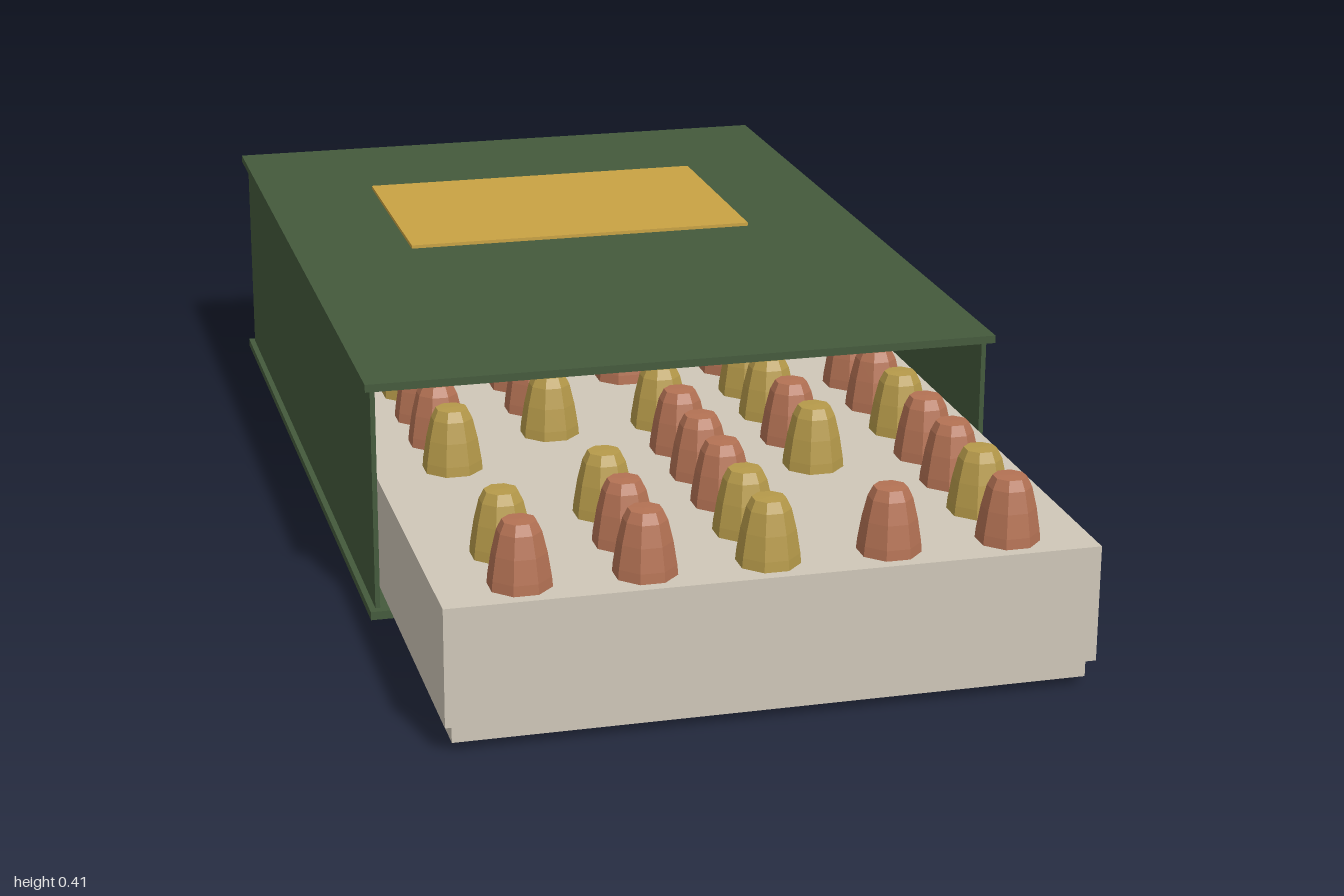
import * as THREE from 'three';

const mat = (name, color, flatShading = false) => {
  const m = new THREE.MeshStandardMaterial({ color });
  m.name = name;
  m.flatShading = flatShading;
  return m;
};

export function createModel() {
  const green = mat('sleeve green', 0x445a3c);
  const ochre = mat('label ochre', 0xc9a243);
  const cream = mat('tray cream', 0xcfc7b8);
  const copper = mat('copper', 0xb47254, true);
  const brass = mat('brass', 0xb69a4a, true);

  const model = new THREE.Group();
  model.name = 'slidingBox';

  // Box between two corners
  const box = (parent, name, material, [x0, y0, z0], [x1, y1, z1]) => {
    const mesh = new THREE.Mesh(new THREE.BoxGeometry(x1 - x0, y1 - y0, z1 - z0), material);
    mesh.position.set((x0 + x1) / 2, (y0 + y1) / 2, (z0 + z1) / 2);
    mesh.name = name;
    parent.add(mesh);
  };

  // Outer sleeve: two overhanging boards, thin walls, open at the front
  const sleeve = new THREE.Group();
  sleeve.name = 'sleeve';
  box(sleeve, 'bottomBoard', green, [-0.525, 0, -1], [0.525, 0.014, 0.475]);
  box(sleeve, 'topBoard', green, [-0.525, 0.387, -1], [0.525, 0.4, 0.475]);
  box(sleeve, 'leftWall', green, [0.507, 0.014, -0.985], [0.515, 0.387, 0.46]);
  box(sleeve, 'rightWall', green, [-0.515, 0.014, -0.985], [-0.507, 0.387, 0.46]);
  box(sleeve, 'backWall', green, [-0.507, 0.014, -0.985], [0.507, 0.387, -0.977]);
  box(sleeve, 'label', ochre, [-0.315, 0.4, -0.685], [0.315, 0.406, -0.26]);
  model.add(sleeve);

  // Tray pulled out of the sleeve
  const tray = new THREE.Group();
  tray.name = 'tray';
  box(tray, 'trayBase', cream, [-0.493, 0.015, -0.42], [0.493, 0.045, 0.988]);
  box(tray, 'trayBlock', cream, [-0.505, 0.045, -0.43], [0.505, 0.232, 1]);
  model.add(tray);

  // Faceted tapered pegs standing in a grid with gaps
  const profile = [[0, 0.225], [0.05, 0.225], [0.048, 0.248], [0.042, 0.285],
    [0.034, 0.318], [0.026, 0.334], [0, 0.335]].map(([r, y]) => new THREE.Vector2(r, y));
  const pegGeometry = new THREE.LatheGeometry(profile, 8, Math.PI / 8);
  // c = copper, b = brass, . = empty; front row first
  const rows = ['ccbcc', 'bcb.b', '.bc.c', '..cbc', 'b.ccb', 'cbbbc',
    'cc.bc', 'bccc.', 'c.bcc', 'ccb.b', '.cccb'];
  const pegs = new THREE.Group();
  pegs.name = 'pegs';
  rows.forEach((row, r) => [...row].forEach((kind, c) => {
    if (kind === '.') return;
    const peg = new THREE.Mesh(pegGeometry, kind === 'c' ? copper : brass);
    peg.name = kind === 'c' ? 'copperPeg' : 'brassPeg';
    peg.position.set((c - 2) * 0.189, 0, 0.935 - r * 0.127);
    pegs.add(peg);
  }));
  model.add(pegs);

  return model;
}
